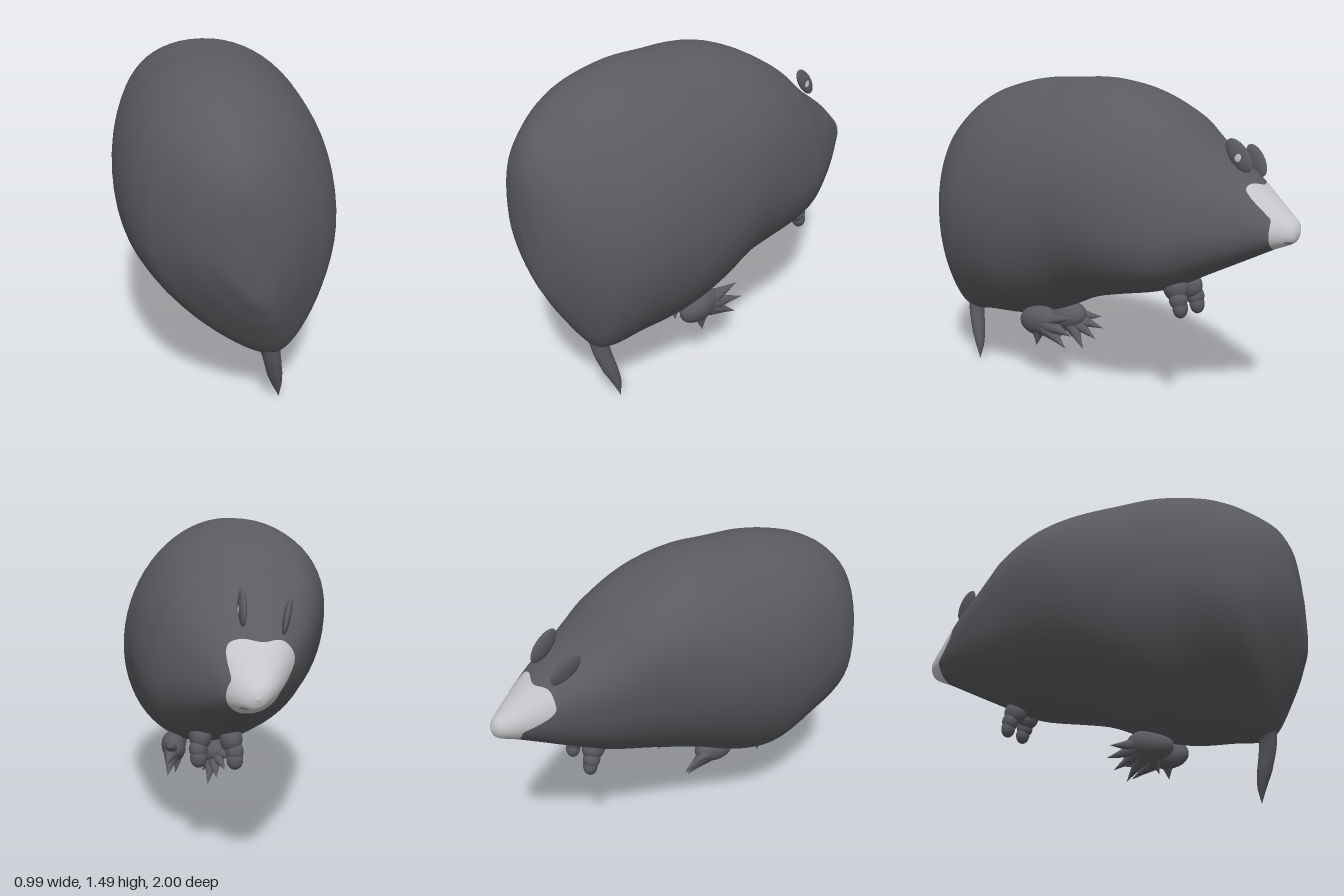
import * as THREE from 'three';

const fur = new THREE.MeshStandardMaterial({ color: 0x5a5a5f });
fur.name = 'dark grey fur';
const pale = new THREE.MeshStandardMaterial({ color: 0xc6c6ca });
pale.name = 'pale grey';

// Body sections from nose to rump: z, top, bottom, half width
const SECTIONS = [
  [-1, 0.86, 0.86, 0], [-0.985, 0.9, 0.82, 0.04], [-0.95, 0.93, 0.8, 0.073], [-0.9, 0.97, 0.78, 0.108],
  [-0.8, 1.05, 0.73, 0.17], [-0.7, 1.115, 0.68, 0.23], [-0.6, 1.18, 0.63, 0.284], [-0.5, 1.26, 0.578, 0.33],
  [-0.4, 1.34, 0.54, 0.37], [-0.2, 1.44, 0.49, 0.436], [0, 1.487, 0.43, 0.475], [0.2, 1.488, 0.34, 0.492],
  [0.4, 1.482, 0.285, 0.484], [0.6, 1.44, 0.28, 0.446], [0.72, 1.39, 0.275, 0.397], [0.8, 1.34, 0.31, 0.347],
  [0.9, 1.26, 0.465, 0.252], [0.95, 1.19, 0.565, 0.18], [0.985, 1.08, 0.66, 0.1], [1, 0.86, 0.84, 0],
];
const LAST = SECTIONS.length - 1;
const spline = (pick) => new THREE.CatmullRomCurve3(SECTIONS.map(pick), false, 'catmullrom');
const heights = spline((s) => new THREE.Vector3(s[0], s[1], s[2]));
const widths = spline((s) => new THREE.Vector3(s[3], 0, 0));

// Point on the body skin; the animal leans, its head leans more and has full shoulders,
// and the underside of the rump narrows and swings towards the tail
function skin(t, a) {
  const p = heights.getPoint(t), w = Math.max(0, widths.getPoint(t).x);
  const head = THREE.MathUtils.smoothstep(-p.x, -0.1, 0.5);
  const rump = THREE.MathUtils.smoothstep(p.x, 0.3, 0.8);
  const bulge = (Math.sin(a) > 0 ? 0.2 : 0.07) * head * THREE.MathUtils.smoothstep(p.x, -1, -0.7);
  const full = (v) => Math.sign(v) * Math.abs(v) ** (1 - bulge);
  const s = full(Math.sin(a)), low = Math.min(s, 0) ** 2 * rump;
  const half = (p.y - p.z) / 2, rise = half * s;
  const x = 0.036 * head + w * full(Math.cos(a)) * (1 - 0.38 * low) - (0.09 + 0.14 * head) * rise;
  return [x + 0.18 * low * half, (p.y + p.z) / 2 + rise, p.x];
}

// Edge of the pale muzzle, reaching further back over the snout, with a notch on the ridge
const muzzleEdge = (a) =>
  (2.95 + 1.25 * THREE.MathUtils.smoothstep(Math.sin(a - 0.3), 0.1, 0.65)
    - 0.3 * Math.exp(-(((a - 1.65) / 0.3) ** 2))) / LAST;

function skinGeometry(rings, start, end) {
  const SIDES = 64, pos = [], idx = [];
  for (let i = 0; i <= rings; i++) {
    for (let j = 0; j < SIDES; j++) {
      const a = j / SIDES * Math.PI * 2;
      pos.push(...skin(THREE.MathUtils.lerp(start(a), end(a), i / rings), a));
      if (i === rings) continue;
      const k = i * SIDES + j, n = i * SIDES + (j + 1) % SIDES;
      idx.push(k, n, k + SIDES, n, n + SIDES, k + SIDES);
    }
  }
  const g = new THREE.BufferGeometry();
  g.setAttribute('position', new THREE.Float32BufferAttribute(pos, 3));
  g.setIndex(idx);
  g.computeVertexNormals();
  return g;
}

function add(parent, name, geometry, material = fur) {
  const m = new THREE.Mesh(geometry, material);
  m.name = name;
  parent.add(m);
  return m;
}

function blob(parent, name, at, radii, rot = [0, 0, 0], material = fur) {
  const m = add(parent, name, new THREE.SphereGeometry(1, 24, 16), material);
  m.position.set(...at);
  m.scale.set(...radii);
  m.rotation.set(...rot);
  return m;
}

// Tube through the points whose radius follows the list
function taper(parent, name, points, radii) {
  const curve = new THREE.CatmullRomCurve3(points.map((p) => new THREE.Vector3(...p)));
  const steps = 24, sides = 14;
  const g = new THREE.TubeGeometry(curve, steps, 1, sides);
  const pos = g.attributes.position, v = new THREE.Vector3();
  for (let i = 0; i <= steps; i++) {
    const c = curve.getPointAt(i / steps);
    const f = i / steps * (radii.length - 1), k = Math.min(Math.floor(f), radii.length - 2);
    const r = THREE.MathUtils.lerp(radii[k], radii[k + 1], f - k);
    for (let j = 0; j <= sides; j++) {
      const n = i * (sides + 1) + j;
      v.fromBufferAttribute(pos, n).sub(c).multiplyScalar(r).add(c);
      pos.setXYZ(n, v.x, v.y, v.z);
    }
  }
  g.computeVertexNormals();
  return add(parent, name, g);
}

export function createModel() {
  const model = new THREE.Group();
  model.name = 'burrowing animal';

  add(model, 'body', skinGeometry(110, muzzleEdge, () => 1));
  add(model, 'muzzle', skinGeometry(24, () => 0, muzzleEdge), pale);
  blob(model, 'mouth', [0.08, 0.822, -0.962], [0.02, 0.005, 0.02], [0, 0.4, 0]);

  // Tail, flaring into the rump
  taper(model, 'tail',
    [[0.09, 0.5, 0.71], [0.125, 0.38, 0.74], [0.15, 0.27, 0.75], [0.17, 0.17, 0.727], [0.19, 0.08, 0.7], [0.203, 0.002, 0.69]],
    [0.17, 0.13, 0.068, 0.042, 0.038, 0.034, 0.022, 0]);

  // Ears, standing on the crown
  for (const [x, y, turn] of [[0.05, 1.168, 0], [-0.133, 1.128, 0.28]]) {
    const ear = new THREE.Group();
    ear.name = 'ear';
    ear.position.set(x, y, -0.714);
    ear.rotation.set(-0.35, -turn, 0.1);
    blob(ear, 'earFlap', [0, 0, 0], [0.016, 0.086, 0.043], [1.05, 0, 0]);
    model.add(ear);
  }
  blob(model, 'earSpot', [0.064, 1.16, -0.716], [0.004, 0.02, 0.017], [0, 0, 0.1], pale);

  // Front feet: a rounded arm and a stubby paw
  for (const [x, y, out] of [[0.195, 0.578, 0.012], [0.06, 0.56, -0.012]]) {
    const foot = new THREE.Group();
    foot.name = 'frontFoot';
    blob(foot, 'arm', [x, y, -0.497], [0.05, 0.06, 0.058]);
    blob(foot, 'wrist', [x + out, y - 0.05, -0.518], [0.04, 0.045, 0.042]);
    blob(foot, 'paw', [x + out, y - 0.085, -0.528], [0.037, 0.046, 0.034], [0.1, 0, 0]);
    model.add(foot);
  }

  // Hind feet: a broad paw with a fan of claws
  const hind = [
    { at: [0.25, 0.31, 0.235], radii: [0.062, 0.078, 0.115], roll: -0.2,
      tips: [[0.29, 0.365, 0.02], [0.305, 0.285, 0], [0.3, 0.215, 0.04], [0.275, 0.185, 0.24]] },
    { at: [0.04, 0.285, 0.225], radii: [0.066, 0.075, 0.115], roll: 0.7,
      tips: [[-0.02, 0.29, 0.05], [0.01, 0.24, 0.02], [0.05, 0.19, 0.04], [0.09, 0.14, 0.09], [0.095, 0.16, 0.25]] },
  ];
  for (const { at, radii, roll, tips } of hind) {
    const foot = new THREE.Group();
    foot.name = 'hindFoot';
    blob(foot, 'paw', at, radii, [0.15, 0, roll]);
    for (const tip of tips) {
      const mid = at.map((v, i) => v + (tip[i] - v) * 0.55);
      taper(foot, 'claw', [at, mid, tip], [0.05, 0.04, 0.018, 0]);
    }
    model.add(foot);
  }
  return model;
}
